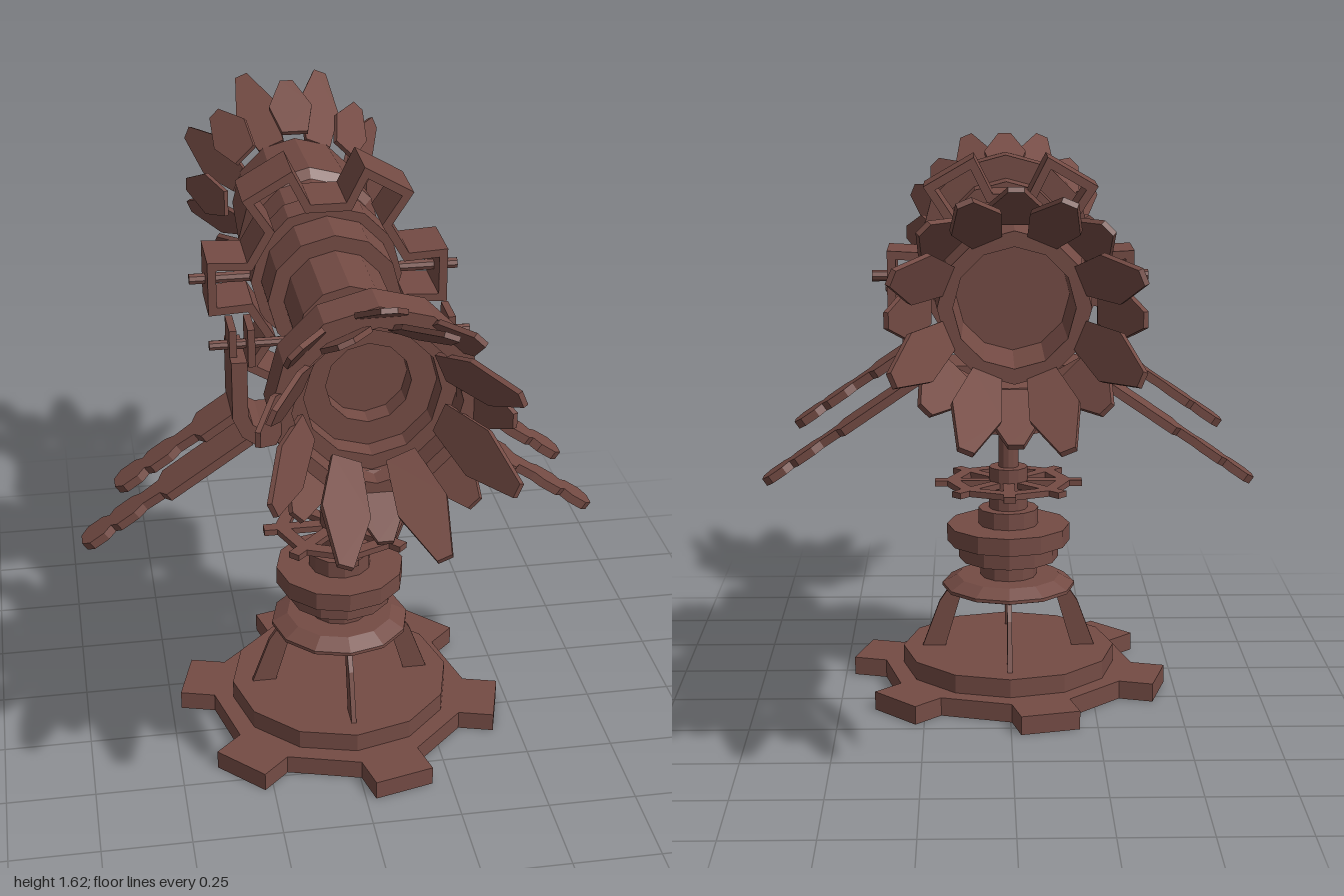
import * as THREE from 'three';

const mat = new THREE.MeshStandardMaterial({ color: 0x744b44, flatShading: true });
const AXIS_Y = 1.29; // height of the barrel axis
const STAND_Z = 0.17; // the stand sits a little forward of the middle

function add(parent, name, geo, x = 0, y = 0, z = 0) {
  const mesh = new THREE.Mesh(geo, mat);
  mesh.name = name;
  mesh.position.set(x, y, z);
  parent.add(mesh);
  return mesh;
}

const toShape = (pts) => new THREE.Shape(pts.map(([x, y]) => new THREE.Vector2(x, y)));

// Outline pushed out to a plate, centred on its thickness
function plate(shape, depth) {
  return new THREE.ExtrudeGeometry(shape, { depth, bevelEnabled: false, curveSegments: 4 }).translate(0, 0, -depth / 2);
}

function lathe(profile, sides) {
  return new THREE.LatheGeometry(profile.map(([r, y]) => new THREE.Vector2(r, y)), sides);
}

function polar(r, a) {
  return [r * Math.cos(a), r * Math.sin(a)];
}

function buildStand() {
  const stand = new THREE.Group();
  stand.name = 'stand';
  stand.position.z = STAND_Z;

  // Six-toothed foot plate
  const gear = [];
  for (let i = 0; i < 6; i++) {
    const a = THREE.MathUtils.degToRad(16 + i * 60);
    for (const [r, off] of [[0.375, -0.235], [0.475, -0.185], [0.475, 0.185], [0.375, 0.235]]) gear.push(polar(r, a + off));
  }
  add(stand, 'toothedFoot', plate(toShape(gear), 0.055).rotateX(Math.PI / 2), 0, 0.0275, 0);
  add(stand, 'baseDisc', new THREE.CylinderGeometry(0.32, 0.32, 0.06, 12), 0, 0.08, 0);

  // Four thin curved struts
  const strut = toShape([[0.195, 0.1], [0.265, 0.1], [0.21, 0.25], [0.18, 0.295], [0.11, 0.295], [0.145, 0.27]]);
  for (let i = 0; i < 4; i++) add(stand, 'strut', plate(strut, 0.014)).rotation.y = i * Math.PI / 2;

  // Stepped column
  add(stand, 'lowerColumn', lathe([
    [0, 0.29], [0.17, 0.29], [0.2, 0.3], [0.2, 0.31], [0.155, 0.335], [0.085, 0.335], [0.085, 0.39],
    [0.15, 0.39], [0.15, 0.442], [0.185, 0.442], [0.185, 0.495], [0.09, 0.495], [0.09, 0.545],
    [0.058, 0.545], [0.058, 0.672], [0.03, 0.672], [0.03, 0.81]], 12));
  add(stand, 'upperColumn', lathe([
    [0, 0.8], [0.15, 0.8], [0.15, 0.855], [0.088, 0.855], [0.088, 0.91], [0.155, 0.91],
    [0.205, 0.94], [0.205, 0.95], [0.17, 0.96], [0, 0.96]], 12));

  // Hand wheel with spokes
  const rim = toShape(Array.from({ length: 8 }, (_, i) => polar(0.19, i * Math.PI / 4)));
  rim.holes.push(new THREE.Path(Array.from({ length: 8 }, (_, i) => new THREE.Vector2(...polar(0.15, -i * Math.PI / 4)))));
  add(stand, 'wheelRim', plate(rim, 0.018).rotateX(Math.PI / 2), 0, 0.622, 0);
  for (let i = 0; i < 4; i++) {
    add(stand, 'wheelSpoke', new THREE.BoxGeometry(0.44, 0.018, 0.035), 0, 0.622, 0).rotation.y = i * Math.PI / 4;
  }
  return stand;
}

// Flat paddle handle: broad plate, neck and rounded grip along +x
function paddleShape(length) {
  const half = [[0, 0.07], [length - 0.29, 0.07], [length - 0.27, 0.035], [length - 0.21, 0.03], [length - 0.18, 0.045],
    [length - 0.12, 0.045], [length - 0.1, 0.028], [length - 0.075, 0.045], [length - 0.025, 0.045], [length, 0.022]];
  return toShape([...half.map(([x, y]) => [x, -y]), ...half.slice().reverse()]);
}

function buildYoke() {
  const yoke = new THREE.Group();
  yoke.name = 'yoke';
  yoke.position.z = STAND_Z;

  // U-shaped fork
  const outer = [[0.25, 0.95], [0.285, 0.975], [0.31, 1.03], [0.31, 1.2]];
  const inner = [[0.267, 1.2], [0.267, 1.04], [0.255, 1.01], [0.23, 0.995]];
  const right = [...outer, ...inner];
  const left = right.slice().reverse().map(([x, y]) => [-x, y]);
  add(yoke, 'fork', plate(toShape([...right, ...left]), 0.18));

  for (const side of [1, -1]) {
    // Twin ears and trunnion pin
    for (const x of [0.25, 0.3]) add(yoke, 'ear', new THREE.BoxGeometry(0.02, 0.11, 0.105), side * x, 1.222, 0);
    add(yoke, 'trunnionPin', new THREE.CylinderGeometry(0.014, 0.014, 0.24, 8).rotateZ(Math.PI / 2), side * 0.24, 1.215, 0);

    // Two parallel handles sloping down and out
    for (const [name, x, y, length] of [['upperHandle', 0.298, 1.03, 0.4], ['lowerHandle', 0.26, 0.95, 0.568]]) {
      const geo = plate(paddleShape(length), 0.025).rotateX(Math.PI / 2).rotateZ(-0.6);
      if (side < 0) geo.rotateY(Math.PI);
      add(yoke, name, geo, side * x, y, 0);
    }
  }
  return yoke;
}

// Ring of leaf-shaped petals flaring toward +z
function buildPetals(name) {
  const crown = new THREE.Group();
  crown.name = name;
  const leaf = (len) => toShape([[0, -0.04], [len * 0.5, -0.066], [len, -0.02], [len, 0.02], [len * 0.5, 0.066], [0, 0.04]]);
  // Long inner petals, then short outer ones in the gaps
  for (const [part, tipR, tipZ, baseR, baseZ, phase] of [
    ['longPetal', 0.322, 0.997, 0.185, 0.69, 0.5], ['shortPetal', 0.315, 0.87, 0.215, 0.68, 0]]) {
    const len = Math.hypot(tipR - baseR, tipZ - baseZ);
    const tilt = Math.atan2(tipZ - baseZ, tipR - baseR);
    for (let i = 0; i < 8; i++) {
      const geo = plate(leaf(len), 0.014).rotateY(-tilt).translate(baseR, 0, baseZ);
      add(crown, part, geo.rotateZ((i + phase) * Math.PI / 4));
    }
  }
  return crown;
}

function buildBarrel() {
  const barrel = new THREE.Group();
  barrel.name = 'barrel';
  barrel.position.y = AXIS_Y;

  // Stepped tube with a hollow rear and a recessed front
  add(barrel, 'tube', lathe([
    [0, -0.45], [0.15, -0.45], [0.155, -0.69], [0.195, -0.69], [0.212, -0.385], [0.186, -0.36], [0.186, 0.08],
    [0.142, 0.08], [0.142, 0.325], [0.09, 0.325], [0.09, 0.52], [0.198, 0.52], [0.198, 0.63], [0.27, 0.63],
    [0.27, 0.745], [0.215, 0.745], [0.215, 0.67], [0.175, 0.67], [0.175, 0.61], [0.11, 0.61], [0.11, 0.55], [0, 0.55]], 12)
    .rotateX(Math.PI / 2));

  barrel.add(buildPetals('frontPetals'));
  const rear = buildPetals('rearPetals');
  rear.rotation.y = Math.PI;
  barrel.add(rear);

  // Clamp band that rises into six raised plates
  const band = (inset) => {
    const pts = [];
    for (let i = 0; i < 6; i++) {
      const a = i * Math.PI / 3;
      const points = [[0.34 - inset, -0.08 + inset], [0.34 - inset, 0.08 - inset]];
      for (const [x, y] of points) pts.push(polar(Math.hypot(x, y), a + Math.atan2(y, x)));
      for (const t of [-0.05 - inset * 0.6, 0.05 + inset * 0.6]) {
        pts.push(polar(Math.hypot(0.235 - inset, t), a + Math.PI / 6 + Math.atan2(t, 0.235 - inset)));
      }
    }
    return pts;
  };
  const ring = toShape(band(0));
  ring.holes.push(new THREE.Path(band(0.024).reverse().map(([x, y]) => new THREE.Vector2(x, y))));
  add(barrel, 'clampBand', plate(ring, 0.17), 0, 0, -0.115);
  add(barrel, 'clampCollar', new THREE.CylinderGeometry(0.215, 0.215, 0.1, 12).rotateX(Math.PI / 2), 0, 0, -0.115);
  for (const side of [1, -1]) {
    add(barrel, 'clampPin', new THREE.CylinderGeometry(0.016, 0.016, 0.2, 8).rotateZ(Math.PI / 2), side * 0.285, 0, -0.115);
  }
  return barrel;
}

export function createModel() {
  const model = new THREE.Group();
  model.name = 'mountedTelescope';
  model.add(buildStand(), buildYoke(), buildBarrel());
  return model;
}
